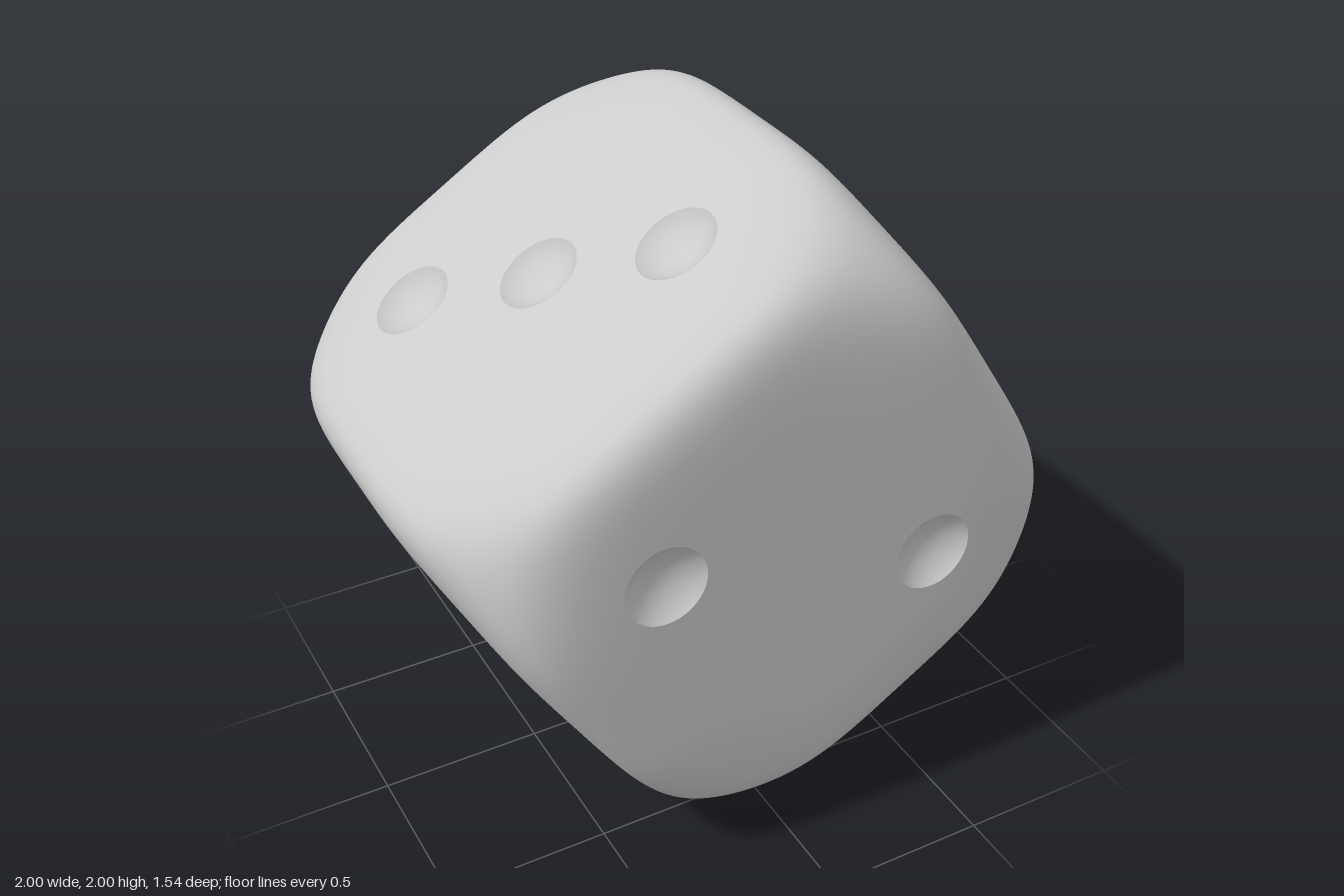
import * as THREE from 'three';

const HALF = 0.77;          // half the width of the cube
const STEP = 0.31;          // distance between pip centres
const PIP_R = 0.123, PIP_DEPTH = 0.05;
const SEG = 12;             // segments per side of one pip cell
const TILT = THREE.MathUtils.degToRad(32.6);
const N = 11, CUT = 7;      // edge sharpness and extra rounding of the corners

const X = new THREE.Vector3(1, 0, 0), Y = new THREE.Vector3(0, 1, 0), Z = new THREE.Vector3(0, 0, 1);

// Faces: two in-plane axes (u x v points outwards) and the pip cells
const FACES = [
  { name: 'onePip', u: Z, v: Y, pips: [[0, 0]] },
  { name: 'twoPips', u: X, v: Y, pips: [[-1, 1], [1, -1]] },
  { name: 'threePips', u: Z, v: X, pips: [[-1, -1], [0, 0], [1, 1]] },
  { name: 'fourPips', u: X, v: Z, pips: [[-1, -1], [1, -1], [-1, 1], [1, 1]] },
  { name: 'fivePips', u: Y, v: X, pips: [[-1, -1], [1, -1], [0, 0], [-1, 1], [1, 1]] },
  { name: 'sixPips', u: Y, v: Z, pips: [[-1, -1], [0, -1], [1, -1], [-1, 1], [0, 1], [1, 1]] },
];

// Pull a point of the sharp cube in to the surface |x|^N+|y|^N+|z|^N + CUT(xyz)^4 = 1
function toSurface(p) {
  p.divideScalar(HALF);
  const a = Math.abs(p.x) ** N + Math.abs(p.y) ** N + Math.abs(p.z) ** N;
  const b = CUT * (p.x * p.y * p.z) ** 4;
  let k = 1;
  for (let i = 0; i < 30; i++) {
    k -= (a * k ** N + b * k ** 12 - 1) / (N * a * k ** (N - 1) + 12 * b * k ** 11);
  }
  return p.multiplyScalar(k * HALF);
}

function surfaceNormal(p) {
  const q = p.clone().divideScalar(HALF);
  const g = (x, y, z) => N * Math.abs(x) ** (N - 2) * x + 4 * CUT * x ** 3 * (y * z) ** 4;
  return new THREE.Vector3(g(q.x, q.y, q.z), g(q.y, q.z, q.x), g(q.z, q.x, q.y)).normalize();
}

// Counter-clockwise square and matching circle, n segments per side
function square(cx, cy, half, n) {
  const pts = [];
  const corners = [[1, -1], [1, 1], [-1, 1], [-1, -1]];
  for (let s = 0; s < 4; s++) {
    const [ax, ay] = corners[s], [bx, by] = corners[(s + 1) % 4];
    for (let i = 0; i < n; i++) {
      const t = i / n;
      pts.push([cx + half * (ax + (bx - ax) * t), cy + half * (ay + (by - ay) * t)]);
    }
  }
  return pts;
}

function circle(cx, cy, r, n) {
  return Array.from({ length: 4 * n }, (_, i) => {
    const a = -Math.PI / 4 + (i / (4 * n)) * Math.PI * 2;
    return [cx + r * Math.cos(a), cy + r * Math.sin(a)];
  });
}

// Join closed loops, innermost first; place(a, b) returns { p, n }
function loft(out, loops, place) {
  const count = loops[0].length, base = out.pos.length / 3;
  for (const loop of loops) {
    for (const [a, b] of loop) {
      const { p, n } = place(a, b);
      out.pos.push(p.x, p.y, p.z);
      out.nor.push(n.x, n.y, n.z);
    }
  }
  for (let r = 0; r < loops.length - 1; r++) {
    for (let i = 0; i < count; i++) {
      const j = (i + 1) % count, lo = base + r * count, hi = lo + count;
      out.idx.push(lo + i, hi + i, hi + j, lo + i, hi + j, lo + j);
    }
  }
}

function toMesh(out, name, material) {
  const geo = new THREE.BufferGeometry();
  geo.setAttribute('position', new THREE.Float32BufferAttribute(out.pos, 3));
  geo.setAttribute('normal', new THREE.Float32BufferAttribute(out.nor, 3));
  geo.setIndex(out.idx);
  const mesh = new THREE.Mesh(geo, material);
  mesh.name = name;
  return mesh;
}

export function createModel() {
  const group = new THREE.Group();
  group.name = 'die';
  const die = new THREE.Group();
  die.name = 'tiltedDie';
  die.rotation.z = TILT;
  die.position.y = 1;
  group.add(die);

  const material = new THREE.MeshStandardMaterial({ color: 0xcccccc });
  const empty = () => ({ pos: [], nor: [], idx: [] });
  const body = empty();
  const sphereR = (PIP_R ** 2 + PIP_DEPTH ** 2) / (2 * PIP_DEPTH);
  const dishRings = [0, 0.2, 0.4, 0.6, 0.8, 1];

  for (const { name, u, v, pips } of FACES) {
    const w = u.clone().cross(v);
    const point = (a, b) => toSurface(
      w.clone().multiplyScalar(HALF).addScaledVector(u, a).addScaledVector(v, b));
    const onBody = (a, b) => {
      const p = point(a, b);
      return { p, n: surfaceNormal(p) };
    };

    // Rounded border of the face
    const frame = [];
    for (let r = 0; r <= 18; r++) {
      frame.push(square(0, 0, THREE.MathUtils.lerp(1.5 * STEP, HALF, r / 18), 3 * SEG));
    }
    loft(body, frame, onBody);

    // Middle of the face: nine cells, some with a hollow pip
    const dishes = empty();
    for (let i = -1; i <= 1; i++) {
      for (let j = -1; j <= 1; j++) {
        const cx = i * STEP, cy = j * STEP;
        const disc = dishRings.map((t) => circle(cx, cy, t * PIP_R, SEG));
        loft(body, [disc[5], square(cx, cy, STEP / 2, SEG)], onBody);
        if (!pips.some(([a, b]) => a === i && b === j)) {
          loft(body, disc, onBody);
          continue;
        }
        loft(dishes, disc, (a, b) => {
          const da = a - cx, db = b - cy;
          const rise = Math.sqrt(sphereR ** 2 - da * da - db * db);
          const n = w.clone().multiplyScalar(rise).addScaledVector(u, -da).addScaledVector(v, -db);
          const depth = rise - (sphereR - PIP_DEPTH);
          return { p: point(a, b).addScaledVector(w, -depth), n: n.normalize() };
        });
      }
    }
    die.add(toMesh(dishes, name, material));
  }
  die.add(toMesh(body, 'body', material));
  return group;
}
